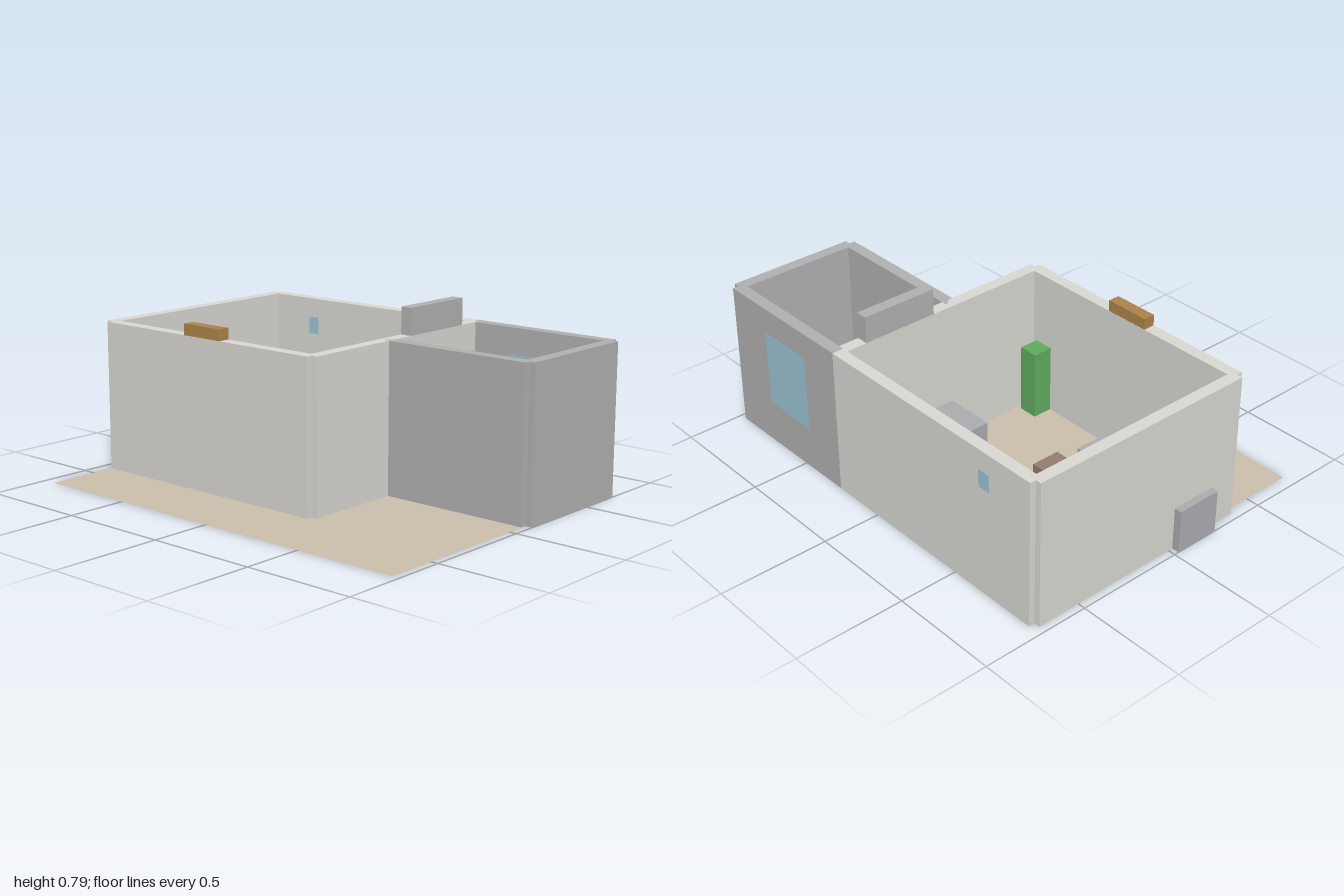
import * as THREE from 'three';

const mat = (color) => new THREE.MeshStandardMaterial({ color });
const COLORS = {
  mainWall: mat(0xd8d7d2), sideWall: mat(0xb0b0b0), wood: mat(0xac824a),
  fabric: mat(0xa9abb0), darkWood: mat(0x7e6662), midWood: mat(0x927d71),
  green: mat(0x5fab5f), glass: mat(0x9cc4d4),
};
const WALL_HEIGHT = 0.67;
const WALL_THICKNESS = 0.055;

// Box given by its extents along each axis
function box(name, material, [x0, x1], [y0, y1], [z0, z1]) {
  const mesh = new THREE.Mesh(new THREE.BoxGeometry(x1 - x0, y1 - y0, z1 - z0), material);
  mesh.position.set((x0 + x1) / 2, (y0 + y1) / 2, (z0 + z1) / 2);
  mesh.name = name;
  return mesh;
}

// Straight wall along a centre line; ends stop at the corner points
function wall(name, material, x0, z0, x1, z1) {
  const t = WALL_THICKNESS / 2;
  const alongX = z0 === z1;
  return box(name, material,
    alongX ? [x0, x1] : [x0 - t, x0 + t], [0, WALL_HEIGHT],
    alongX ? [z0 - t, z0 + t] : [z0, z1]);
}

export function createModel() {
  const model = new THREE.Group();
  model.name = 'floorPlan';

  // Floor slab, a thin open sheet
  const floorMaterial = mat(0xcabeaa);
  floorMaterial.side = THREE.DoubleSide;
  const floor = new THREE.Mesh(new THREE.PlaneGeometry(1.91, 1.46), floorMaterial);
  floor.rotation.x = -Math.PI / 2;
  floor.position.set(0.015, 0.001, 0);
  floor.name = 'floor';
  model.add(floor);

  // Main room walls
  const W = -0.938, M = 0.252, E = 0.968, N = -0.704, S = 0.371, P = -0.107;
  const mainRoom = new THREE.Group();
  mainRoom.name = 'mainRoomWalls';
  mainRoom.add(
    wall('mainBackWall', COLORS.mainWall, W, N, M, N),
    wall('mainFrontWall', COLORS.mainWall, W, S, M, S),
    wall('mainOuterWall', COLORS.mainWall, W, N, W, S),
    wall('sharedWall', COLORS.mainWall, M, N, M, S));

  // Side room walls
  const sideRoom = new THREE.Group();
  sideRoom.name = 'sideRoomWalls';
  sideRoom.add(
    wall('sideBackWall', COLORS.sideWall, M, N, E, N),
    wall('sideFrontWall', COLORS.sideWall, M, P, E, P),
    wall('sideOuterWall', COLORS.sideWall, E, N, E, P));
  model.add(mainRoom, sideRoom);

  // Doors and windows set into the walls
  model.add(
    box('frontDoor', COLORS.wood, [-0.45, -0.24], [0.16, 0.72], [0.344, 0.398]),
    box('innerDoor', COLORS.sideWall, [0.225, 0.279], [0.23, 0.79], [-0.58, -0.225]),
    box('sideWindow', COLORS.glass, [0.46, 0.74], [0.2, 0.55], [-0.732, -0.676]),
    box('mainWindow', COLORS.glass, [-0.71, -0.65], [0.5, 0.58], [-0.732, -0.676]));

  // Furniture
  model.add(
    box('sofa', COLORS.fabric, [-1, -0.405], [0, 0.2], [0.022, 0.235]),
    box('counter', COLORS.fabric, [-0.01, 0.61], [0, 0.2], [-0.275, -0.135]),
    box('lowCabinet', COLORS.darkWood, [-0.585, -0.108], [0, 0.14], [-0.677, -0.6]),
    box('coffeeTable', COLORS.midWood, [-0.56, -0.272], [0, 0.11], [-0.108, 0.03]),
    box('bed', COLORS.wood, [0.445, 0.777], [0, 0.14], [-0.61, -0.42]),
    box('tallPlanter', COLORS.green, [0.112, 0.205], [0, 0.325], [0.25, 0.343]));

  return model;
}
